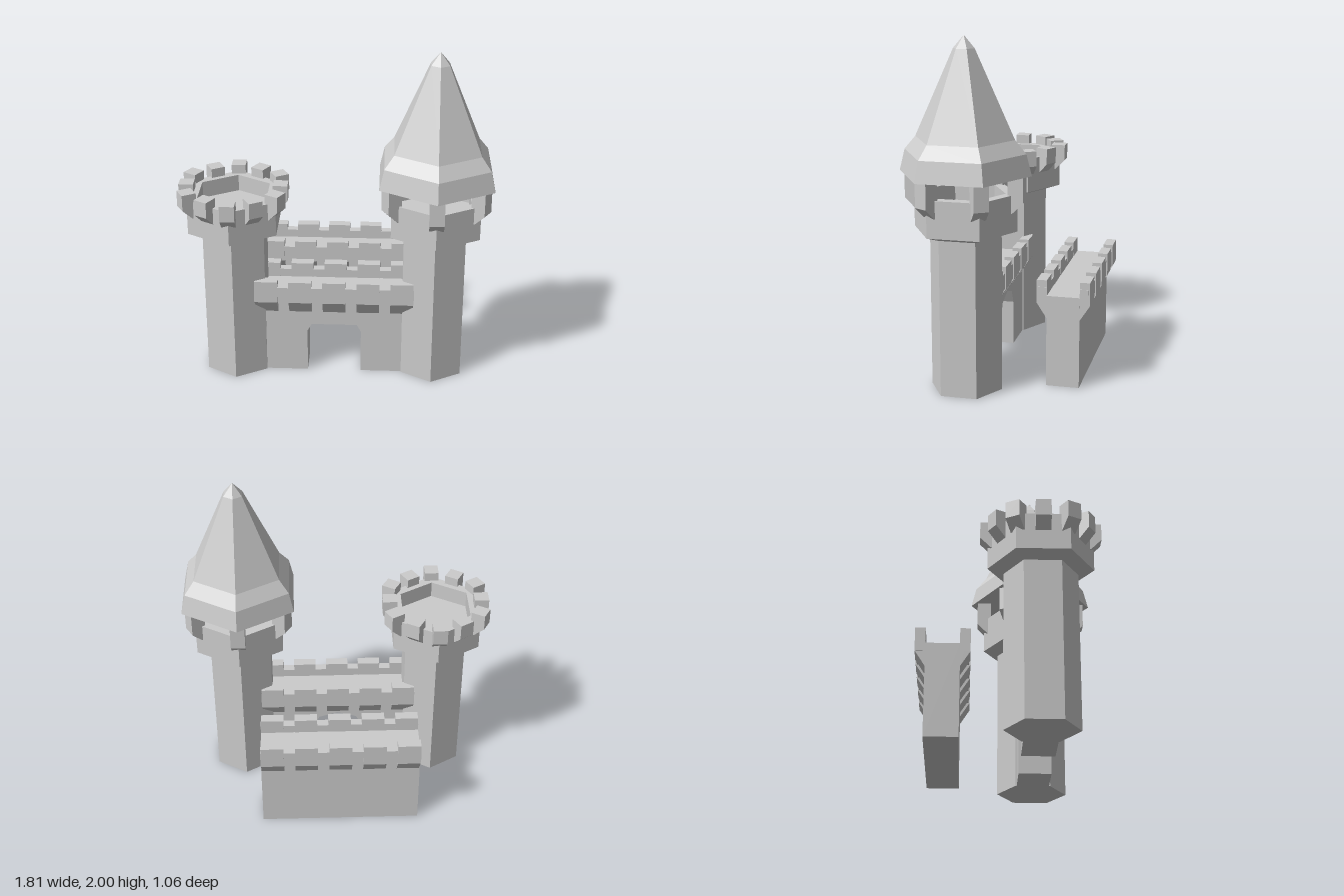
import * as THREE from 'three';

const material = new THREE.MeshStandardMaterial({ color: 0xcccccc, flatShading: true });

function addMesh(parent, name, geometry) {
  const flat = geometry.index ? geometry.toNonIndexed() : geometry;
  flat.computeVertexNormals();
  const mesh = new THREE.Mesh(flat, material);
  mesh.name = name;
  parent.add(mesh);
  return mesh;
}

const toVectors = (points) => points.map(([x, y]) => new THREE.Vector2(x, y));

// Six-sided solid with a corner facing +z; profile runs upwards as [radius, y]
const hexLathe = (profile) => new THREE.LatheGeometry(toVectors(profile), 6);

// Outline in [outward, y], extruded to a width centred on the third axis
function prism(outline, width) {
  const shape = new THREE.Shape(toVectors(outline));
  return new THREE.ExtrudeGeometry(shape, { depth: width, bevelEnabled: false })
    .translate(0, 0, -width / 2);
}

function createTower(name, merlonCount, merlonTop) {
  const tower = new THREE.Group();
  tower.name = name;

  // Shaft, flared collar and sunken platform
  addMesh(tower, 'towerBody', hexLathe([
    [0, 0], [0.206, 0], [0.206, 0.9], [0.294, 0.93],
    [0.294, 1.14], [0.23, 1.14], [0.23, 1.04], [0, 1.04],
  ]));

  // Merlons with sloped corbels, on the corners and optionally mid-side
  for (let i = 0; i < merlonCount; i++) {
    const angle = Math.PI / 2 + (i * 2 * Math.PI) / merlonCount;
    const onCorner = merlonCount === 6 || i % 2 === 0;
    const outer = onCorner ? 0.335 : 0.315;
    const inner = outer - 0.085;
    const merlon = addMesh(tower, 'towerMerlon', prism([
      [inner, 1.04], [outer - 0.06, 1.04], [outer, 1.1],
      [outer, merlonTop], [inner, merlonTop],
    ], 0.084));
    merlon.rotation.y = angle;
  }
  return tower;
}

function createWall(name, hasGate) {
  const wall = new THREE.Group();
  wall.name = name;
  const length = 0.94;
  const left = -length / 2;

  // Wall core, with an arched passage cut up from the ground
  const outline = [[left, 0]];
  if (hasGate) {
    outline.push([-0.16, 0], [-0.16, 0.27], [-0.115, 0.355], [0, 0.39],
      [0.115, 0.355], [0.16, 0.27], [0.16, 0]);
  }
  outline.push([-left, 0], [-left, 0.535], [left, 0.535]);
  addMesh(wall, 'wallCore', prism(outline, 0.19));

  // Parapet and five corbelled merlons along each face
  for (const side of [-1, 1]) {
    const parapet = addMesh(wall, 'parapet', new THREE.BoxGeometry(length, 0.095, 0.05));
    parapet.position.set(0, 0.5375, side * 0.12);
    for (let i = 0; i < 5; i++) {
      const merlon = addMesh(wall, 'wallMerlon', prism([
        [0.094, 0.4], [0.152, 0.49], [0.152, 0.625], [0.094, 0.625],
      ], 0.134));
      merlon.rotation.y = -side * Math.PI / 2;
      merlon.position.x = (i - 2) * 0.2;
    }
  }
  return wall;
}

export function createModel() {
  const castle = new THREE.Group();
  castle.name = 'castle';

  // Open tower
  const openTower = createTower('openTower', 12, 1.195);
  openTower.position.set(-0.595, 0, 0.153);

  // Roofed tower: merlons carry a flared pointed roof
  const roofedTower = createTower('roofedTower', 6, 1.25);
  roofedTower.position.set(0.573, 0, 0.153);
  addMesh(roofedTower, 'roof', hexLathe([
    [0, 1.245], [0.375, 1.245], [0.345, 1.365], [0.282, 1.44],
    [0.06, 1.93], [0, 2],
  ]));

  // Gate wall between the towers and the separate rear wall
  const gateWall = createWall('gateWall', true);
  gateWall.position.set(-0.009, 0, 0.153);
  const rearWall = createWall('rearWall', false);
  rearWall.position.set(-0.009, 0, -0.378);

  castle.add(openTower, roofedTower, gateWall, rearWall);
  return castle;
}
